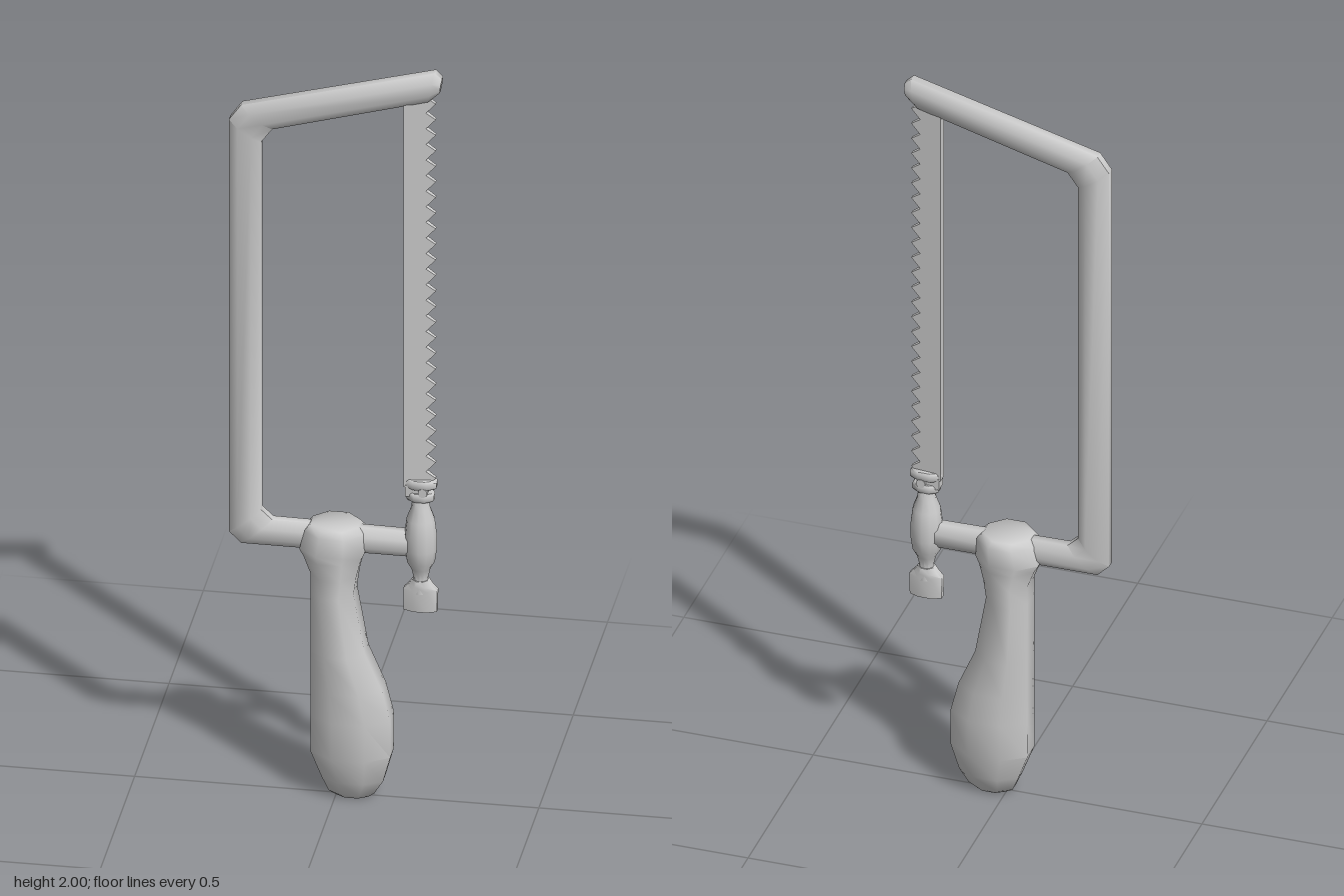
import * as THREE from 'three';
import { toCreasedNormals } from 'three/addons/utils/BufferGeometryUtils.js';

const material = new THREE.MeshStandardMaterial({ color: 0xcccccc });

function add(group, name, geometry, x = 0, y = 0, z = 0) {
  const mesh = new THREE.Mesh(geometry, material);
  mesh.name = name;
  mesh.position.set(x, y, z);
  group.add(mesh);
  return mesh;
}

// Skins octagonal rings. Each ring is [ax, ay, bx, by, halfDepth]:
// a and b are opposite edges in the xy plane, halfDepth its reach in z.
function loft(rings, crease = 1) {
  const N = 8, pos = [], index = [];
  const k = 1 / Math.cos(Math.PI / N);
  for (const [ax, ay, bx, by, hz] of rings) {
    for (let i = 0; i < N; i++) {
      const t = (i + 0.5) * 2 * Math.PI / N;
      const c = Math.cos(t) * k / 2, s = Math.sin(t) * k;
      pos.push((ax + bx) / 2 + (ax - bx) * c, (ay + by) / 2 + (ay - by) * c, hz * s);
    }
  }
  const last = (rings.length - 1) * N;
  for (let r = 0; r < last; r += N) {
    for (let i = 0; i < N; i++) {
      const j = (i + 1) % N;
      index.push(r + i, r + j, r + N + i, r + j, r + N + j, r + N + i);
    }
  }
  for (let i = 1; i < N - 1; i++) {
    index.push(0, i + 1, i, last, last + i, last + i + 1);
  }
  // Turn the faces outward if the path ran the other way
  const p = (i) => new THREE.Vector3().fromArray(pos, i * 3);
  let volume = 0;
  for (let i = 0; i < index.length; i += 3) {
    volume += p(index[i]).dot(p(index[i + 1]).cross(p(index[i + 2])));
  }
  if (volume < 0) index.reverse();
  const g = new THREE.BufferGeometry();
  g.setAttribute('position', new THREE.Float32BufferAttribute(pos, 3));
  g.setIndex(index);
  return toCreasedNormals(g, crease);
}

// Toothed blade, thick at the back and thin at the tooth tips
function bladeGeometry() {
  const y0 = 0.86, y1 = 1.93, teeth = 25, step = (y1 - y0) / teeth;
  const shape = new THREE.Shape();
  shape.moveTo(0.168, y0);
  shape.lineTo(0.222, y0);
  for (let i = 0; i < teeth; i++) {
    shape.lineTo(0.246, y0 + (i + 0.6) * step);
    shape.lineTo(0.222, y0 + (i + 1) * step);
  }
  shape.lineTo(0.168, y1);
  const g = new THREE.ExtrudeGeometry(shape, { depth: 2, bevelEnabled: false });
  const pos = g.attributes.position;
  for (let i = 0; i < pos.count; i++) {
    const half = THREE.MathUtils.mapLinear(pos.getX(i), 0.168, 0.246, 0.014, 0.005);
    pos.setZ(i, (pos.getZ(i) - 1) * half);
  }
  g.computeVertexNormals();
  return g;
}

export function createModel() {
  const saw = new THREE.Group();
  saw.name = 'hacksaw';

  // Bent bow: blunt tip, top arm, back, lower arm
  add(saw, 'frame', loft([
    [0.262, 1.984, 0.256, 1.945, 0.018],
    [0.244, 2.0, 0.228, 1.92, 0.027],
    [-0.235, 1.872, -0.158, 1.812, 0.027],
    [-0.265, 1.83, -0.185, 1.775, 0.027],
    [-0.265, 0.7, -0.185, 0.765, 0.027],
    [-0.235, 0.67, -0.158, 0.74, 0.027],
    [0.2, 0.668, 0.2, 0.735, 0.026],
  ]));

  // Grip: y, back x, palm x, half depth
  const grip = [
    [0, 0, 0.08, 0.025],
    [0.012, -0.018, 0.095, 0.036],
    [0.05, -0.034, 0.118, 0.048],
    [0.12, -0.06, 0.137, 0.066],
    [0.22, -0.06, 0.137, 0.067],
    [0.3, -0.06, 0.117, 0.067],
    [0.4, -0.06, 0.074, 0.067],
    [0.56, -0.06, 0.046, 0.067],
    [0.61, -0.06, 0.053, 0.067],
    [0.655, -0.077, 0.064, 0.067],
    [0.675, -0.088, 0.073, 0.067],
    [0.725, -0.075, 0.07, 0.067],
    [0.742, -0.062, 0.055, 0.056],
  ];
  add(saw, 'handle', loft(grip.map(([y, a, b, hz]) => [a, y, b, y, hz])));

  add(saw, 'blade', bladeGeometry());

  // Tensioner on the lower arm
  const tensioner = new THREE.Group();
  tensioner.name = 'tensioner';
  tensioner.position.x = 0.208;
  saw.add(tensioner);

  const profile = [
    [0, 0.57], [0.022, 0.57], [0.018, 0.61], [0.024, 0.635], [0.035, 0.655],
    [0.04, 0.69], [0.04, 0.73], [0.035, 0.77], [0.024, 0.8], [0.019, 0.835], [0, 0.835],
  ].map(([x, y]) => new THREE.Vector2(x, y));
  add(tensioner, 'barrel', toCreasedNormals(new THREE.LatheGeometry(profile, 12), 0.9));

  add(tensioner, 'wingNut', loft([
    [-0.041, 0.52, 0.041, 0.52, 0.017],
    [-0.042, 0.578, 0.042, 0.578, 0.02],
    [-0.03, 0.59, 0.03, 0.59, 0.021],
    [-0.02, 0.605, 0.02, 0.605, 0.02],
  ]));

  // Split clamp with a cross pin holding the blade
  for (const [name, y0, y1, w] of [['lowerJaw', 0.822, 0.845, 0.034], ['upperJaw', 0.856, 0.88, 0.04]]) {
    add(tensioner, name, loft([
      [-w * 0.9, y0, w * 0.9, y0, 0.02],
      [-w, y0 + 0.005, w, y0 + 0.005, 0.023],
      [-w, y1 - 0.005, w, y1 - 0.005, 0.023],
      [-w * 0.9, y1, w * 0.9, y1, 0.02],
    ]));
  }
  add(tensioner, 'clampWeb', new THREE.BoxGeometry(0.045, 0.03, 0.03), -0.014, 0.85, 0);
  const pin = add(tensioner, 'clampPin', new THREE.CylinderGeometry(0.012, 0.012, 0.048, 10), 0.008, 0.85, 0);
  pin.rotation.x = Math.PI / 2;

  return saw;
}
